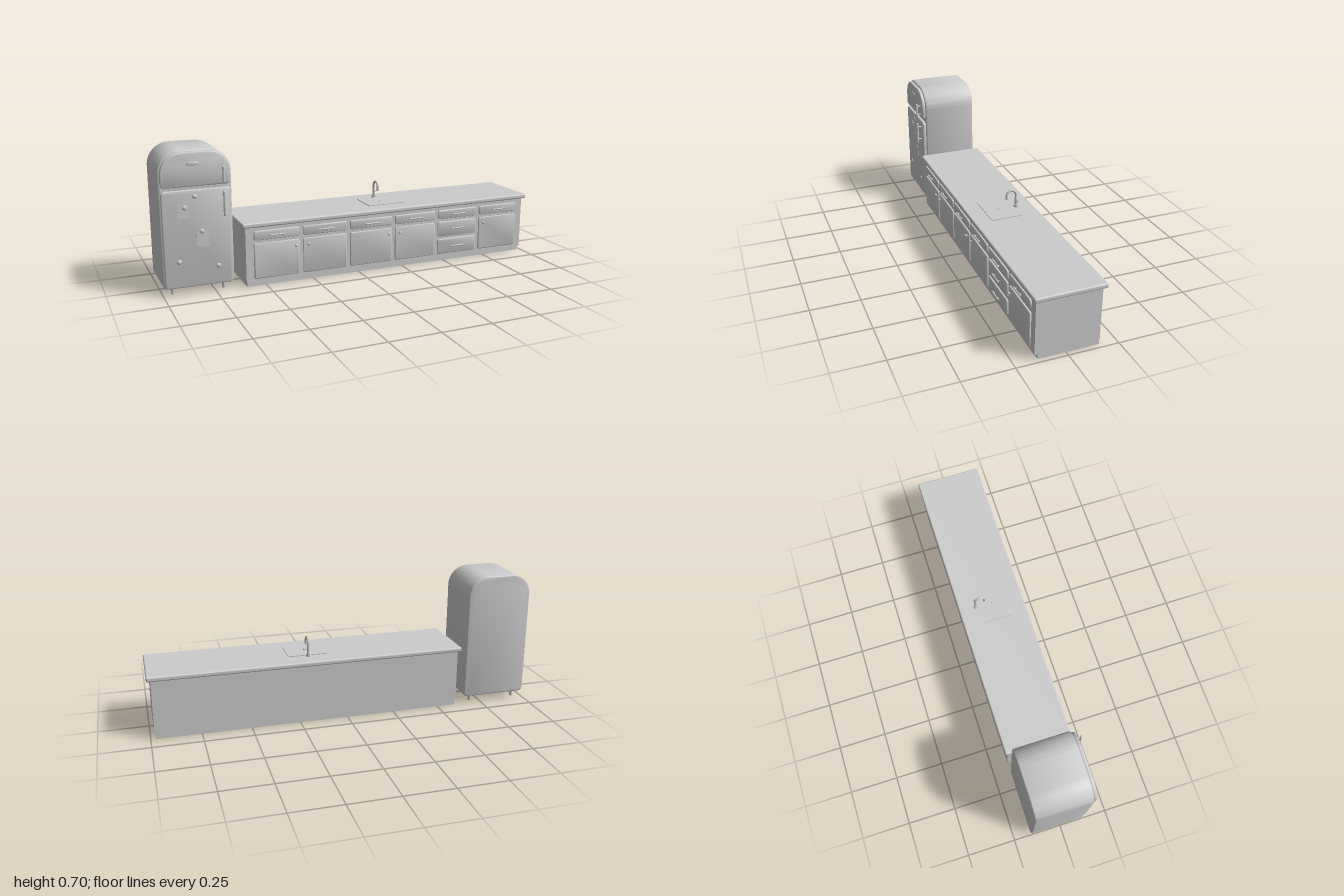
import * as THREE from 'three';
import { toCreasedNormals } from 'three/addons/utils/BufferGeometryUtils.js';
import { RoundedBoxGeometry } from 'three/addons/geometries/RoundedBoxGeometry.js';

const grey = new THREE.MeshStandardMaterial({ color: 0xcccccc });
grey.name = 'light grey';

function add(parent, name, geometry, x = 0, y = 0, z = 0) {
  const mesh = new THREE.Mesh(geometry, grey);
  mesh.name = name;
  mesh.position.set(x, y, z);
  parent.add(mesh);
  return mesh;
}

function group(parent, name) {
  const g = new THREE.Group();
  g.name = name;
  parent.add(g);
  return g;
}

// Upright panel with rounded outline and bevelled edges, given by its bounds
function panel(parent, name, [x0, x1], [y0, y1], [z0, z1], rTop, rLow, bevel) {
  const s = new THREE.Shape();
  s.moveTo(x0 + rLow, y0);
  s.lineTo(x1 - rLow, y0);
  s.absarc(x1 - rLow, y0 + rLow, rLow, -Math.PI / 2, 0, false);
  s.lineTo(x1, y1 - rTop);
  s.absarc(x1 - rTop, y1 - rTop, rTop, 0, Math.PI / 2, false);
  s.lineTo(x0 + rTop, y1);
  s.absarc(x0 + rTop, y1 - rTop, rTop, Math.PI / 2, Math.PI, false);
  s.lineTo(x0, y0 + rLow);
  s.absarc(x0 + rLow, y0 + rLow, rLow, Math.PI, Math.PI * 1.5, false);
  const geo = new THREE.ExtrudeGeometry(s, {
    depth: z1 - z0 - 2 * bevel, curveSegments: 12,
    bevelThickness: bevel, bevelSize: bevel, bevelOffset: -bevel, bevelSegments: 4,
  });
  return add(parent, name, toCreasedNormals(geo, 0.6), 0, 0, z0 + bevel);
}

// Bar with two posts; vertical or horizontal
function barHandle(parent, name, x, y, zBase, zBar, length, radius, vertical) {
  const g = group(parent, name);
  g.position.set(x, y, 0);
  if (!vertical) g.rotation.z = Math.PI / 2;
  add(g, 'bar', new THREE.CapsuleGeometry(radius, length - 2 * radius, 4, 12), 0, 0, zBar);
  for (const side of [-1, 1]) {
    const post = new THREE.CylinderGeometry(radius * 0.65, radius * 0.65, zBar - zBase, 10).rotateX(Math.PI / 2);
    add(g, 'post', post, 0, side * length * 0.3, (zBar + zBase) / 2);
  }
}

function knob(parent, x, y, z) {
  const points = [[0, 0], [0.004, 0], [0.0035, 0.005], [0.008, 0.008], [0.008, 0.011], [0.005, 0.014], [0, 0.015]];
  const geo = new THREE.LatheGeometry(points.map(([a, b]) => new THREE.Vector2(a, b)), 16).rotateX(Math.PI / 2);
  add(parent, 'doorKnob', geo, x, y, z);
}

function buildCounter(root) {
  const c = group(root, 'counter');
  add(c, 'toeKick', new THREE.BoxGeometry(1.572, 0.028, 0.299), 0.19, 0.014, -0.0125);
  add(c, 'cabinetBody', new THREE.BoxGeometry(1.584, 0.28, 0.317), 0.188, 0.167, -0.0035);
  add(c, 'countertop', new RoundedBoxGeometry(1.62, 0.024, 0.348, 4, 0.008), 0.19, 0.316, -0.004);

  // Six columns: a drawer over a door, or a stack of three drawers
  const knobSides = [1, -1, 1, -1, 0, -1];
  knobSides.forEach((side, i) => {
    const x = -0.447 + i * 0.2538;
    const span = [x - 0.118, x + 0.118];
    const drawer = (y0, y1) => {
      panel(c, 'drawerFront', span, [y0, y1], [0.154, 0.165], 0.01, 0.01, 0.005);
      barHandle(c, 'drawerHandle', x, (y0 + y1) / 2, 0.164, 0.175, 0.084, 0.0038, false);
    };
    drawer(0.238, 0.286);
    if (side === 0) {
      drawer(0.142, 0.223);
      drawer(0.044, 0.128);
    } else {
      panel(c, 'cabinetDoor', span, [0.044, 0.223], [0.154, 0.165], 0.01, 0.01, 0.005);
      knob(c, x + side * 0.095, 0.194, 0.164);
    }
  });
}

function buildSink(root) {
  const s = group(root, 'sink');
  add(s, 'sinkPlate', new THREE.BoxGeometry(0.206, 0.005, 0.16), 0.187, 0.3297, 0.003);
  add(s, 'drain', new THREE.CylinderGeometry(0.008, 0.008, 0.003, 20), 0.187, 0.333, 0.003);

  // Gooseneck faucet with a side lever
  const f = group(s, 'faucet');
  f.position.set(0.188, 0.328, -0.087);
  add(f, 'faucetBase', new THREE.CylinderGeometry(0.0115, 0.0115, 0.014, 20), 0, 0.007, 0);
  add(f, 'faucetBody', new THREE.CylinderGeometry(0.0075, 0.0075, 0.035, 16), 0, 0.03, 0);
  const pts = [new THREE.Vector3(0, 0.01, 0), new THREE.Vector3(0, 0.04, 0)];
  for (let i = 0; i <= 8; i++) {
    const a = Math.PI * (1 - i / 8);
    pts.push(new THREE.Vector3(0, 0.069 + 0.025 * Math.sin(a), 0.025 + 0.025 * Math.cos(a)));
  }
  pts.push(new THREE.Vector3(0, 0.05, 0.05));
  add(f, 'spout', new THREE.TubeGeometry(new THREE.CatmullRomCurve3(pts), 48, 0.006, 12));
  add(f, 'spoutTip', new THREE.CylinderGeometry(0.0064, 0.0064, 0.003, 16), 0, 0.0505, 0.05);
  const lever = add(f, 'lever', new THREE.CapsuleGeometry(0.0032, 0.022, 4, 10), 0.013, 0.037, 0);
  lever.rotation.z = -1.2;
}

function buildFridge(root) {
  const r = group(root, 'refrigerator');
  panel(r, 'fridgeBody', [-1, -0.654], [0.036, 0.698], [-0.162, 0.124], 0.11, 0.022, 0.01);
  panel(r, 'freezerDoor', [-0.992, -0.662], [0.527, 0.69], [0.121, 0.142], 0.1, 0.018, 0.009);
  panel(r, 'fridgeDoor', [-0.992, -0.662], [0.04, 0.512], [0.121, 0.142], 0.018, 0.018, 0.009);
  barHandle(r, 'freezerHandle', -0.7, 0.579, 0.14, 0.165, 0.08, 0.0065, true);
  barHandle(r, 'fridgeHandle', -0.7, 0.439, 0.14, 0.165, 0.124, 0.0065, true);
  panel(r, 'badgePlate', [-0.868, -0.812], [0.627, 0.645], [0.14, 0.147], 0.008, 0.008, 0.003);

  // Tapered feet
  for (const x of [-0.951, -0.702]) {
    for (const z of [-0.125, 0.09]) {
      add(r, 'foot', new THREE.CylinderGeometry(0.011, 0.008, 0.042, 16), x, 0.021, z);
    }
  }

  // Paper notes and round magnets
  for (const [x, y] of [[-0.89, 0.416], [-0.805, 0.272]]) {
    add(r, 'paperNote', new THREE.BoxGeometry(0.06, 0.076, 0.002), x, y, 0.1425);
  }
  for (const [x, y] of [[-0.836, 0.48], [-0.886, 0.43], [-0.808, 0.31], [-0.922, 0.17], [-0.735, 0.132]]) {
    const dome = new THREE.SphereGeometry(0.012, 16, 8, 0, Math.PI * 2, 0, Math.PI / 2).scale(1, 0.6, 1).rotateX(Math.PI / 2);
    add(r, 'magnet', dome, x, y, 0.142);
  }
}

export function createModel() {
  const root = new THREE.Group();
  root.name = 'kitchen';
  buildCounter(root);
  buildSink(root);
  buildFridge(root);
  return root;
}
